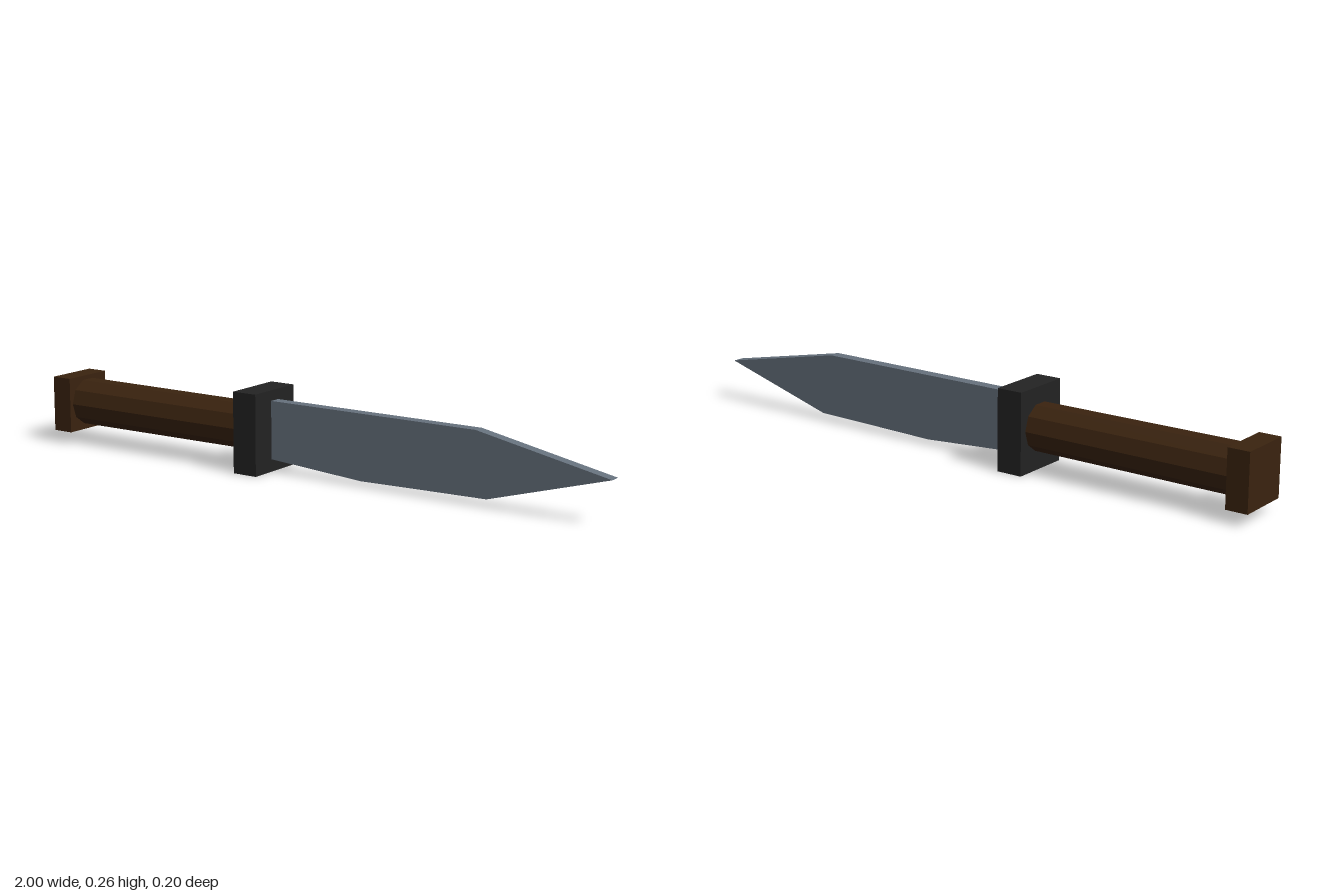
import * as THREE from 'three';

export function createModel() {
  const group = new THREE.Group();
  const material = (name, color) => {
    const m = new THREE.MeshStandardMaterial({ color, flatShading: true });
    m.name = name;
    return m;
  };
  const wood = material('dark wood', 0x3a230f);
  const iron = material('black iron', 0x232323);
  const steel = material('blue-grey steel', 0x66717d);

  const add = (name, geometry, mat, x = 0, y = 0, z = 0) => {
    const mesh = new THREE.Mesh(geometry, mat);
    mesh.name = name;
    mesh.position.set(x, y, z);
    group.add(mesh);
    return mesh;
  };

  // Square end cap and cross guard
  add('pommel', new THREE.BoxGeometry(0.07, 0.18, 0.176), wood, -0.965, 0.13, -0.002);
  add('guard', new THREE.BoxGeometry(0.085, 0.258, 0.2), iron, -0.203, 0.129, 0);

  // Ten-sided grip with flat top and bottom, tapering slightly to the guard
  const grip = new THREE.CylinderGeometry(0.077, 0.075, 0.71, 10);
  grip.rotateZ(Math.PI / 2);
  // Turn the ring so that corners lie on the left and right
  add('grip', grip, wood, -0.585, 0.133, -0.003);

  // Blade of even thickness with a clipped point and a bellied edge
  const outline = [
    [-0.18, 0.04], [-0.16, 0.04], [0.17, 0.017], [0.375, 0.021],
    [0.605, 0.025], [1, 0.138], [0.565, 0.225], [-0.18, 0.225],
  ].map(([x, y]) => new THREE.Vector2(x, y));
  const blade = new THREE.ExtrudeGeometry(new THREE.Shape(outline), { depth: 0.036, bevelEnabled: false });
  add('blade', blade, steel, 0, 0, -0.018);

  return group;
}
